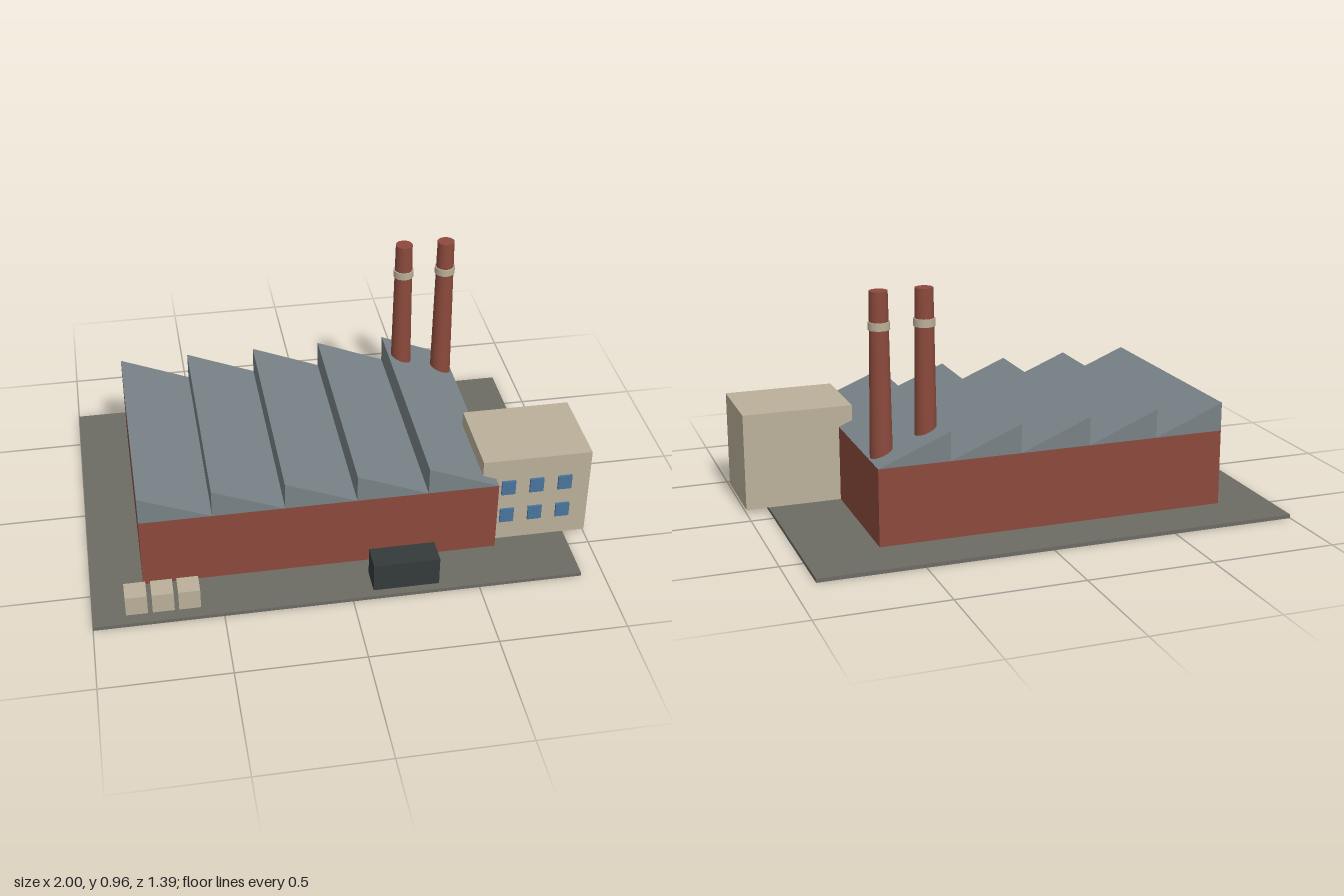
import * as THREE from 'three';

const mat = (name, color) => {
  const m = new THREE.MeshStandardMaterial({ color });
  m.name = name;
  return m;
};

export function createModel() {
  const model = new THREE.Group();
  model.name = 'factory';

  const brick = mat('brick red', 0x8c4a3c);
  const roofGrey = mat('roof grey', 0x788286);
  const concrete = mat('yard grey', 0x6c6b64);
  const beige = mat('beige', 0xbbb09a);
  const glass = mat('window blue', 0x4a749c);
  const dark = mat('container dark', 0x343a3b);
  roofGrey.flatShading = true;

  const add = (name, geometry, material) => {
    const mesh = new THREE.Mesh(geometry, material);
    mesh.name = name;
    model.add(mesh);
    return mesh;
  };
  // Box given by its min and max corners
  const box = (name, material, x0, x1, y0, y1, z0, z1) =>
    add(name, new THREE.BoxGeometry(x1 - x0, y1 - y0, z1 - z0), material)
      .position.set((x0 + x1) / 2, (y0 + y1) / 2, (z0 + z1) / 2);

  // Yard slab and main hall
  const ground = 0.015;
  box('yard', concrete, -1, 0.91, 0, ground, -0.693, 0.693);
  box('hall', brick, -0.795, 0.615, ground, 0.32, -0.478, 0.478);

  // Sawtooth roof: steep face on the right side of the hall, slope falling to +x
  const toothWidth = 1.41 / 5;
  const tooth = new THREE.Shape([
    new THREE.Vector2(0, 0),
    new THREE.Vector2(toothWidth, 0),
    new THREE.Vector2(0, 0.115),
  ]);
  const toothGeometry = new THREE.ExtrudeGeometry(tooth, { depth: 0.956, bevelEnabled: false });
  for (let i = 0; i < 5; i++) {
    add('roofTooth', toothGeometry, roofGrey).position.set(-0.795 + i * toothWidth, 0.32, -0.478);
  }

  // Tapered chimneys with a pale band
  for (const x of [0.39, 0.565]) {
    add('chimney', new THREE.CylinderGeometry(0.035, 0.048, 0.959, 16), brick)
      .position.set(x, 0.4805, -0.348);
    add('chimneyBand', new THREE.CylinderGeometry(0.042, 0.042, 0.03, 16), beige)
      .position.set(x, 0.83, -0.348);
  }

  // Office block with two rows of windows
  box('office', beige, 0.56, 1, ground, 0.405, 0.088, 0.433);
  for (const y of [0.135, 0.273]) {
    for (const x of [0.667, 0.782, 0.897]) {
      box('window', glass, x - 0.028, x + 0.028, y - 0.032, y + 0.032, 0.433, 0.442);
    }
  }

  // Container and crates in the yard
  box('container', dark, 0.085, 0.345, ground, 0.136, 0.555, 0.66);
  for (const x of [-0.83, -0.728, -0.627]) {
    box('crate', beige, x - 0.042, x + 0.042, ground, 0.1, 0.56, 0.645);
  }

  return model;
}
